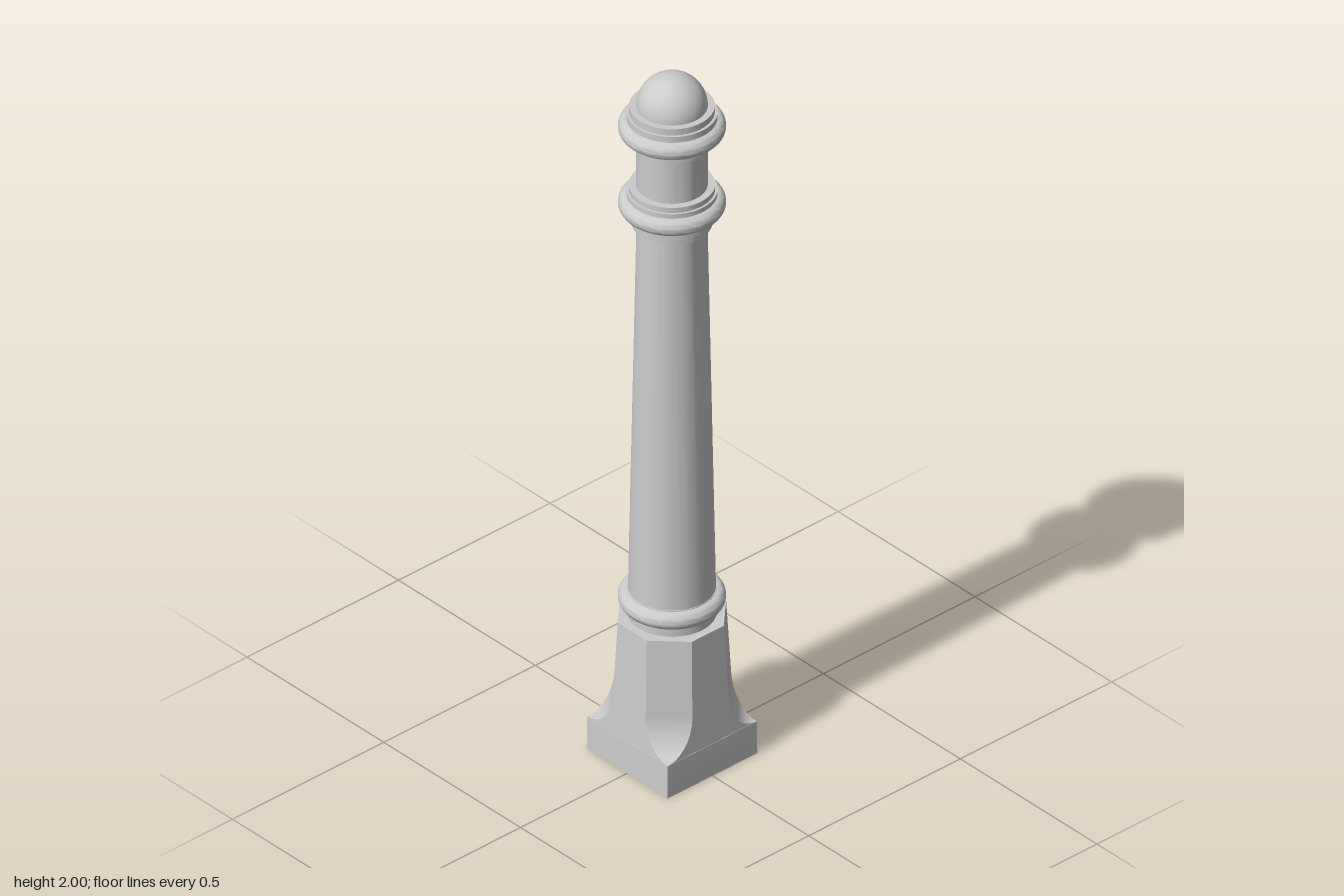
import * as THREE from 'three';
import { toCreasedNormals } from 'three/addons/utils/BufferGeometryUtils.js';

const material = new THREE.MeshStandardMaterial({ color: 0xcccccc });

function turned(name, profile) {
  const points = profile.map(([r, y]) => new THREE.Vector2(r, y));
  const mesh = new THREE.Mesh(toCreasedNormals(new THREE.LatheGeometry(points, 64), 0.6), material);
  mesh.name = name;
  return mesh;
}

// Half-round bead profile, bottom to top
function bead(y, inner = 0.11, outer = 0.133, half = 0.024) {
  const pts = [];
  for (let i = 0; i <= 12; i++) {
    const a = -Math.PI / 2 + (i / 12) * Math.PI;
    pts.push([inner + (outer - inner) * Math.cos(a), y + half * Math.sin(a)]);
  }
  return pts;
}

// Bead between stepped fillets, given as [radius, bottom, top]
function collar(name, beadY, below, above) {
  const step = ([r, a, b]) => [[r, a], [r, b]];
  return turned(name, [
    [0.07, below[0][1]], ...below.flatMap(step), ...bead(beadY), ...above.flatMap(step),
    [0.07, above[above.length - 1][2]],
  ]);
}

// Tapered square plinth whose corner chamfers sweep out to a square foot
function plinth() {
  const height = 0.412, foot = 0.094, coveTop = 0.2;
  const levels = [[0, 0.148, 0.148], [foot, 0.147, 0.147]];
  for (let i = 0; i <= 12; i++) {
    const a = (i / 12) * Math.PI / 2;
    const y = coveTop - (coveTop - foot) * Math.cos(a);
    const half = 0.146 - 0.015 * (y - foot) / (height - foot);
    levels.push([y, half, 0.06 + 0.085 * (1 - Math.sin(a))]);
  }
  levels.push([height, 0.131, 0.053]);

  // Octagonal cross-section, counter-clockwise seen from above
  const ring = ([y, h, f]) => [
    [f, y, h], [h, y, f], [h, y, -f], [f, y, -h],
    [-f, y, -h], [-h, y, -f], [-h, y, f], [-f, y, h],
  ];
  const rings = levels.map(ring);
  const pos = [];
  const tri = (...corners) => corners.forEach((c) => pos.push(...c));
  for (let i = 0; i < rings.length - 1; i++) {
    for (let j = 0; j < 8; j++) {
      const k = (j + 1) % 8;
      const [a, b, c, d] = [rings[i][j], rings[i][k], rings[i + 1][k], rings[i + 1][j]];
      tri(a, b, c);
      tri(a, c, d);
    }
  }
  const top = rings[rings.length - 1];
  for (let j = 0; j < 8; j++) {
    const k = (j + 1) % 8;
    tri([0, height, 0], top[j], top[k]);
    tri([0, 0, 0], rings[0][k], rings[0][j]);
  }
  const geometry = new THREE.BufferGeometry();
  geometry.setAttribute('position', new THREE.Float32BufferAttribute(pos, 3));
  const mesh = new THREE.Mesh(toCreasedNormals(geometry, 0.4), material);
  mesh.name = 'plinth';
  return mesh;
}

export function createModel() {
  const group = new THREE.Group();
  group.name = 'bollard';
  group.add(plinth());

  // Ring above the plinth
  group.add(collar('baseRing', 0.462, [[0.11, 0.41, 0.438]], [[0.11, 0.486, 0.488]]));

  // Tapering shaft and straight neck
  group.add(turned('shaft', [[0.108, 0.48], [0.087, 1.575]]));
  group.add(turned('neck', [[0.088, 1.67], [0.088, 1.815]]));

  // Two moulded collars
  group.add(collar('lowerCollar', 1.628,
    [[0.099, 1.565, 1.585], [0.108, 1.585, 1.604]],
    [[0.112, 1.652, 1.665], [0.106, 1.665, 1.68]]));
  group.add(collar('upperCollar', 1.853,
    [[0.099, 1.805, 1.817], [0.108, 1.817, 1.829]],
    [[0.112, 1.877, 1.894], [0.105, 1.894, 1.912]]));

  // Domed cap
  const dome = new THREE.Mesh(
    new THREE.SphereGeometry(0.088, 64, 24, 0, Math.PI * 2, 0, Math.PI / 2), material);
  dome.name = 'domeCap';
  dome.position.y = 1.912;
  group.add(dome);
  return group;
}
